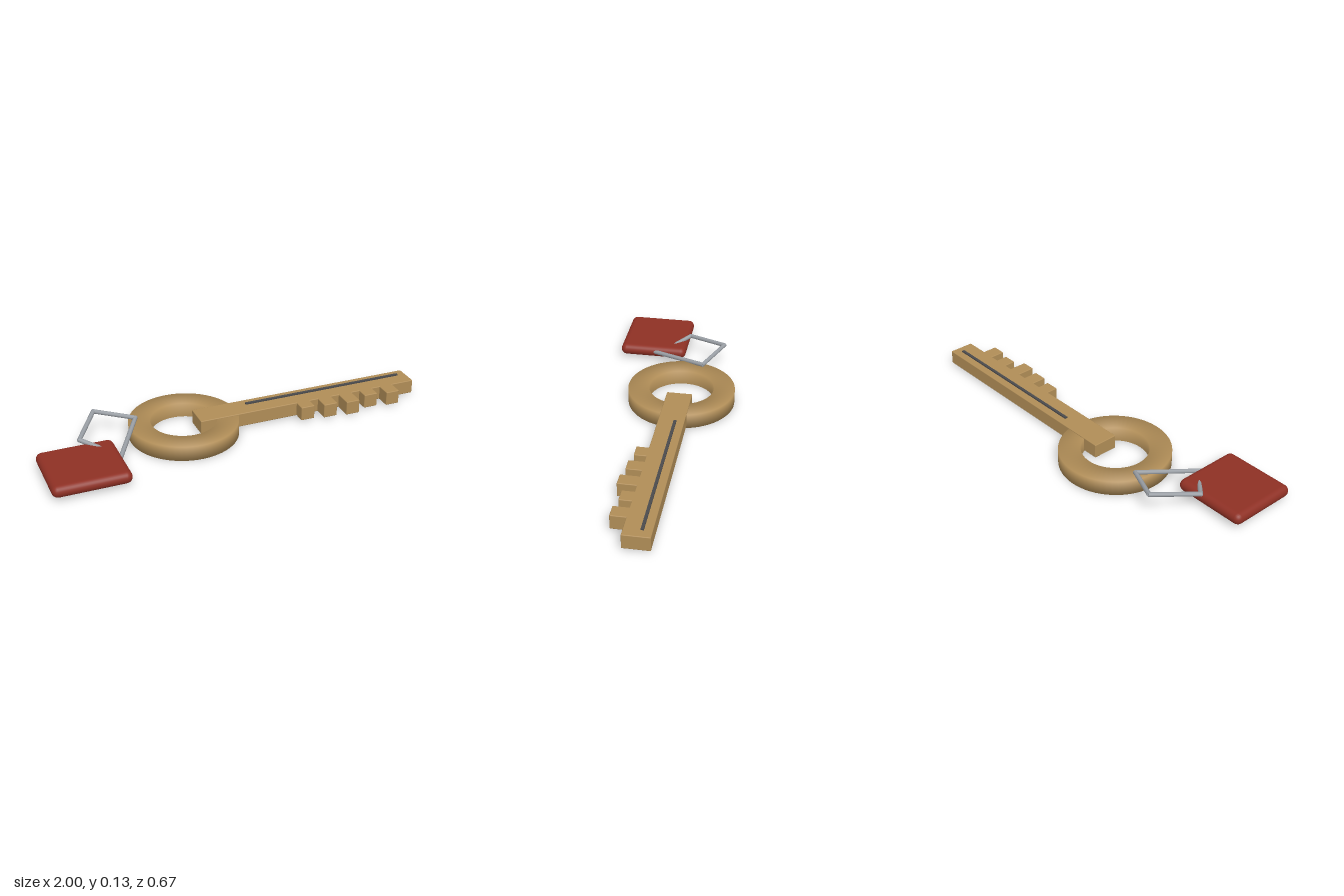
import * as THREE from 'three';
import { RoundedBoxGeometry } from 'three/addons/geometries/RoundedBoxGeometry.js';

const material = (color) => new THREE.MeshStandardMaterial({ color });

export function createModel() {
  const model = new THREE.Group();
  model.name = 'keyWithTag';
  const brass = material(0xb08d57);
  const red = material(0x8e3024);
  const steel = material(0x9a9fa5);
  const dark = material(0x4a4a4c);

  const add = (name, geometry, mat, parent = model) => {
    const mesh = new THREE.Mesh(geometry, mat);
    mesh.name = name;
    parent.add(mesh);
    return mesh;
  };

  // Softened box given by its extents on each axis
  const block = (name, [x0, x1], [y0, y1], [z0, z1], radius, segments, mat, parent) => {
    const geometry = new RoundedBoxGeometry(x1 - x0, y1 - y0, z1 - z0, segments, radius);
    const mesh = add(name, geometry, mat, parent);
    mesh.position.set((x0 + x1) / 2, (y0 + y1) / 2, (z0 + z1) / 2);
    return mesh;
  };

  // Bow: flat ring with smoothly shaded edges
  const profile = [[0.165, 0], [0.272, 0], [0.272, 0.075], [0.165, 0.075], [0.165, 0]]
    .map(([r, y]) => new THREE.Vector2(r, y));
  const bow = add('bowRing', new THREE.LatheGeometry(profile, 64), brass);
  bow.position.set(-0.247, 0, -0.061);

  // Shaft and its dark groove line
  block('shaft', [-0.18, 1], [0.008, 0.08], [-0.126, 0.003], 0.004, 2, brass);
  const groove = add('grooveLine', new THREE.BoxGeometry(0.865, 0.014, 0.014), dark);
  groove.position.set(0.522, 0.08, -0.081);

  // Bit: row of teeth of varied depth
  const teeth = new THREE.Group();
  teeth.name = 'teeth';
  model.add(teeth);
  [0.062, 0.078, 0.094, 0.062, 0.078].forEach((depth, i) => {
    const x = 0.37 + i * 0.118;
    block('tooth', [x - 0.036, x + 0.036], [0.008, 0.08], [-0.02, depth], 0.004, 2, brass, teeth);
  });

  // Tag with fully rounded rim
  block('tag', [-1, -0.625], [0.02, 0.08], [-0.02, 0.333], 0.03, 3, red);

  // Bent wire link between tag and bow
  const link = new THREE.Group();
  link.name = 'wireLink';
  model.add(link);
  const bends = [
    [-0.69, 0.068, 0.055], [-0.78, 0.09, -0.03], [-0.655, 0.117, -0.23],
    [-0.47, 0.09, -0.138], [-0.645, 0.05, 0.165],
  ].map((p) => new THREE.Vector3(...p));
  const up = new THREE.Vector3(0, 1, 0);
  for (let i = 0; i < bends.length - 1; i++) {
    const span = bends[i + 1].clone().sub(bends[i]);
    const wire = add('wireSegment', new THREE.CylinderGeometry(0.011, 0.011, span.length() + 0.008, 8), steel, link);
    wire.position.copy(bends[i]).addScaledVector(span, 0.5);
    wire.quaternion.setFromUnitVectors(up, span.normalize());
  }

  return model;
}
